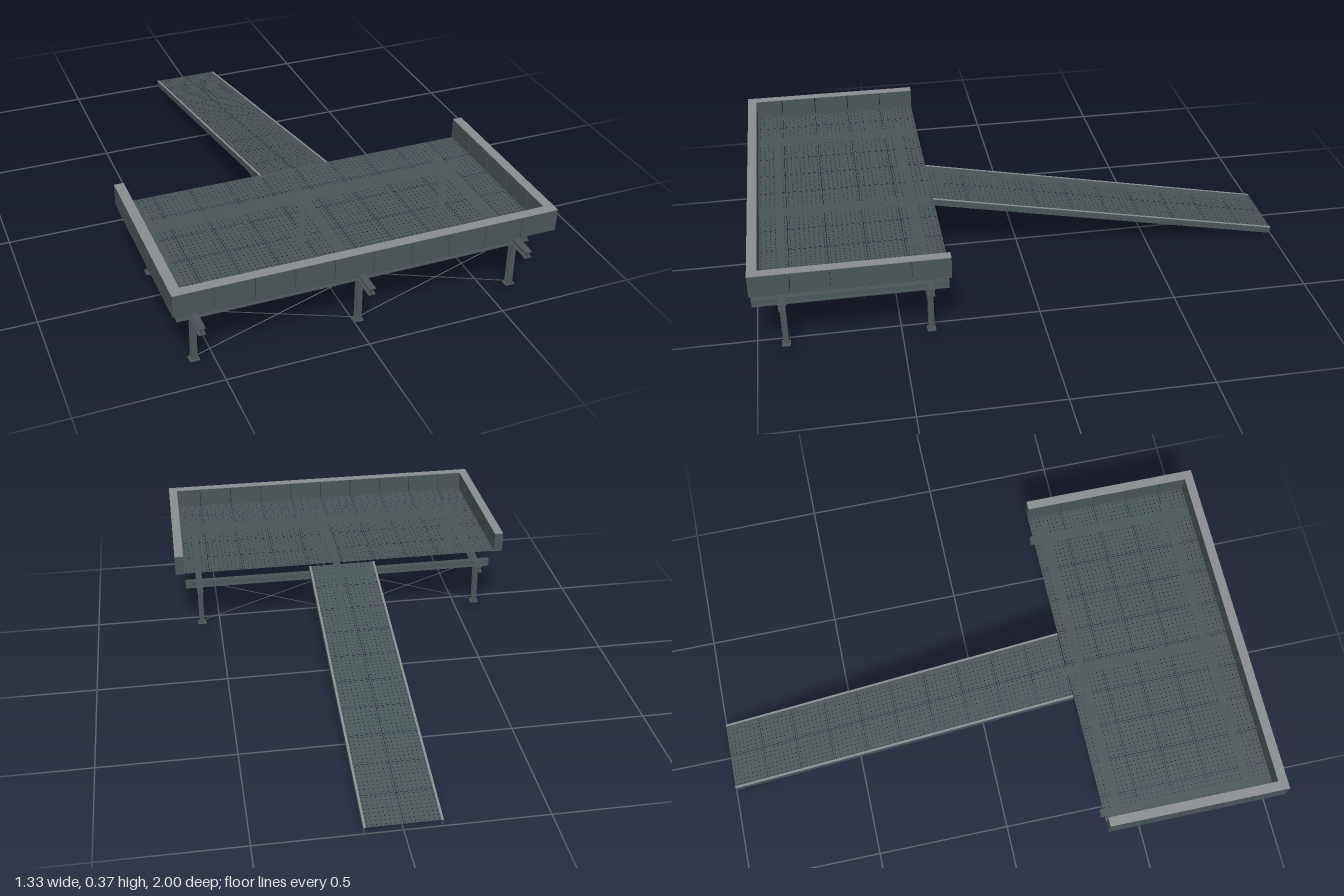
import * as THREE from 'three';

const dark = new THREE.MeshStandardMaterial({ color: 0x4a5558, side: THREE.DoubleSide });
const light = new THREE.MeshStandardMaterial({ color: 0x8a8d90 });

function add(parent, name, geometry, material, x = 0, y = 0, z = 0) {
  const mesh = new THREE.Mesh(geometry, material);
  mesh.name = name;
  mesh.position.set(x, y, z);
  parent.add(mesh);
  return mesh;
}

const box = (w, h, d) => new THREE.BoxGeometry(w, h, d);

// I-section extruded along z, centred on its length
function iBeam(w, h, length, flange, web) {
  const a = w / 2, b = h / 2, c = web / 2, f = b - flange;
  const pts = [[-a, -b], [a, -b], [a, -f], [c, -f], [c, f], [a, f], [a, b], [-a, b], [-a, f], [-c, f], [-c, -f], [-a, -f]];
  const shape = new THREE.Shape(pts.map(p => new THREE.Vector2(...p)));
  const g = new THREE.ExtrudeGeometry(shape, { depth: length, bevelEnabled: false });
  return g.translate(0, 0, -length / 2);
}

// Thin perforated panel lying flat
function panel(w, d, n, hole) {
  const rect = (Type, x, y, hw, hh) => new Type([
    [-hw, -hh], [hw, -hh], [hw, hh], [-hw, hh]].map(p => new THREE.Vector2(x + p[0], y + p[1])));
  const shape = rect(THREE.Shape, 0, 0, w / 2, d / 2);
  for (let i = 0; i < n; i++) for (let j = 0; j < n; j++) {
    const x = ((i + 0.5) / n - 0.5) * w, y = ((j + 0.5) / n - 0.5) * d;
    shape.holes.push(rect(THREE.Path, x, y, hole / 2, hole / 2));
  }
  return new THREE.ShapeGeometry(shape).rotateX(-Math.PI / 2);
}

// Grid of panels separated by narrow seams
function panelField(name, w, d, nx, nz) {
  const g = new THREE.Group();
  g.name = name;
  const pw = w / nx, pd = d / nz;
  const geo = panel(pw - 0.0015, pd - 0.0015, 8, 0.0035);
  for (let i = 0; i < nx; i++) for (let j = 0; j < nz; j++)
    add(g, 'floorPanel', geo, dark, (i + 0.5) * pw - w / 2, 0, (j + 0.5) * pd - d / 2);
  return g;
}

function rod(parent, from, to) {
  const a = new THREE.Vector3(...from), b = new THREE.Vector3(...to);
  const mesh = add(parent, 'braceRod', new THREE.CylinderGeometry(0.0016, 0.0016, a.distanceTo(b), 6), dark);
  mesh.position.copy(a).add(b).multiplyScalar(0.5);
  mesh.quaternion.setFromUnitVectors(new THREE.Vector3(0, 1, 0), b.sub(a).normalize());
}

export function createModel() {
  const model = new THREE.Group();
  model.name = 'loadingPlatform';
  const W = 1.334, zBack = 0.333, D = 0.667, T = 0.034, zMid = zBack + D / 2;

  // Platform floor
  const floor = panelField('platformFloor', W, D, 10, 5);
  floor.position.set(0, 0.297, zMid);
  model.add(floor);

  // Curb panels on three sides, with a pale strip on top
  const curb = new THREE.Group();
  curb.name = 'curb';
  model.add(curb);
  const step = W / 10, gap = 0.003;
  for (let i = 0; i < 10; i++)
    add(curb, 'frontCurbPanel', box(step - (i % 9 ? gap : gap / 2), 0.078, T), dark, (i + 0.5) * step - W / 2, 0.334, 1 - T / 2);
  for (const s of [-1, 1]) {
    for (let i = 0; i < 5; i++) {
      const d = i === 4 ? step - T : step - gap;
      add(curb, 'sideCurbPanel', box(T, 0.078, d), dark, s * (W - T) / 2, 0.334, zBack + i * step + d / 2);
    }
    add(curb, 'sideCurbCap', box(T, 0.002, D - T), light, s * (W - T) / 2, 0.374, zMid - T / 2);
  }
  add(curb, 'frontCurbCap', box(W, 0.002, T), light, 0, 0.374, 1 - T / 2);

  // Support frame: crossing beams, columns, plates and braces
  const frame = new THREE.Group();
  frame.name = 'supportFrame';
  model.add(frame);
  const rows = [0.4, 0.9], cols = [-0.575, 0, 0.575];
  const longBeam = iBeam(0.024, 0.027, 1.26, 0.004, 0.005).rotateY(Math.PI / 2);
  const crossBeam = iBeam(0.024, 0.0265, D, 0.004, 0.005);
  const column = iBeam(0.02, 0.02, 0.17, 0.004, 0.005).rotateX(Math.PI / 2);
  for (const x of cols) add(frame, 'crossBeam', crossBeam, dark, x, 0.214, zMid);
  for (const z of rows) {
    add(frame, 'longBeam', longBeam, dark, 0, 0.214, z);
    for (const x of cols) {
      add(frame, 'column', column, dark, x, 0.117, z);
      add(frame, 'basePlate', box(0.034, 0.004, 0.03), dark, x, 0.032, z);
      add(frame, 'capPlate', box(0.03, 0.003, 0.03), dark, x, 0.1995, z);
    }
    for (const s of [-1, 1]) {
      rod(frame, [s * 0.565, 0.042, z], [0, 0.222, z]);
      rod(frame, [s * 0.565, 0.222, z], [s * 0.01, 0.042, z]);
    }
  }

  // Sloping ramp: perforated deck between two side flanges
  const run = 1.333, rise = 0.265, depth = 0.0262;
  const angle = Math.atan2(rise, run), length = Math.hypot(run, rise);
  const ramp = new THREE.Group();
  ramp.name = 'ramp';
  ramp.position.set(0, 0.0257 + rise / 2, zBack - run / 2);
  ramp.rotation.x = -angle;
  model.add(ramp);
  const deck = panelField('rampDeck', 0.258, length, 2, 10);
  deck.position.y = -0.001;
  ramp.add(deck);
  for (const s of [-1, 1]) {
    add(ramp, 'rampFlange', box(0.005, depth - 0.002, length), dark, s * 0.1308, -0.002 - (depth - 0.002) / 2, 0);
    add(ramp, 'rampEdgeStrip', box(0.008, 0.002, length), light, s * 0.1293, -0.001, 0);
  }
  return model;
}
